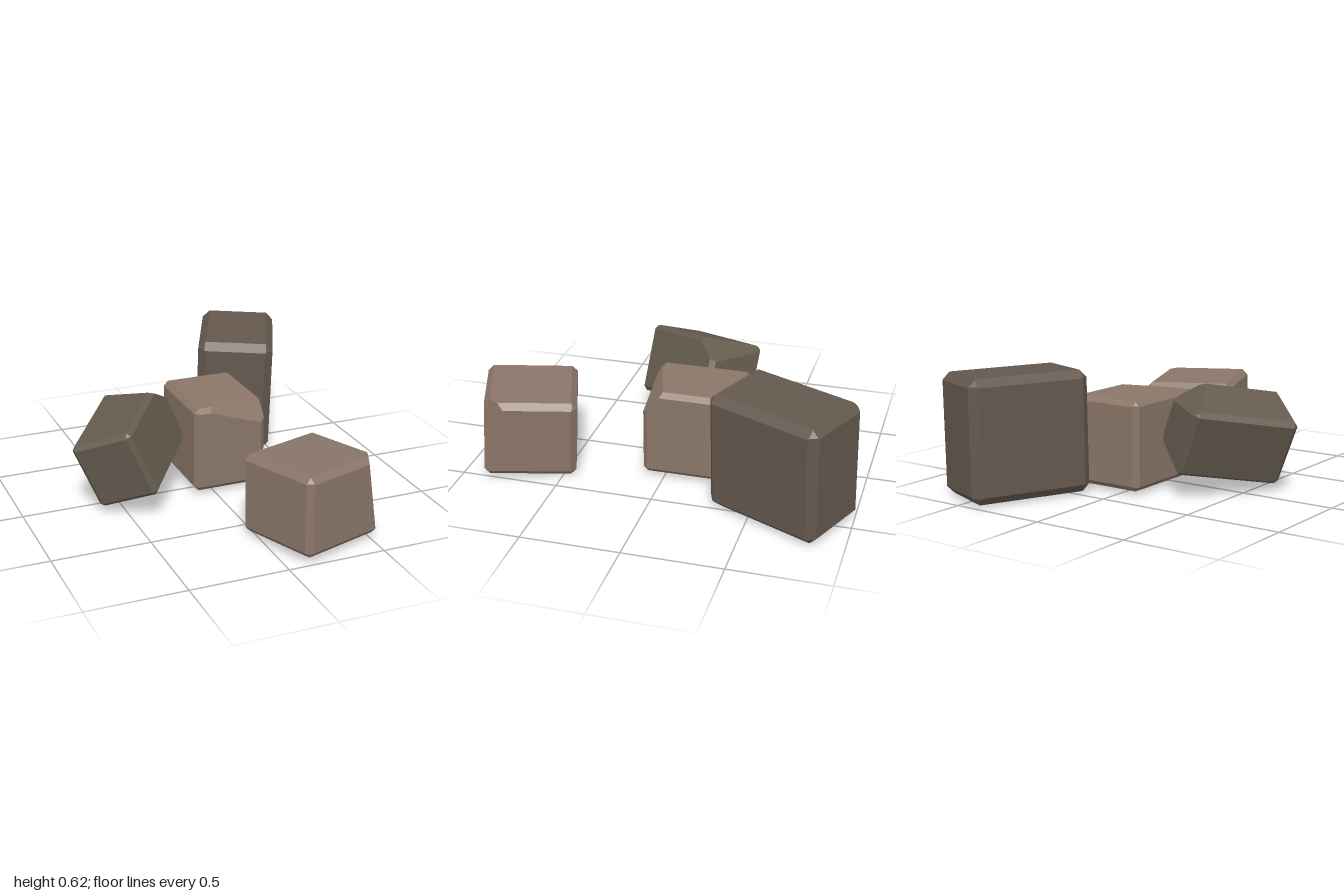
import * as THREE from 'three';
import { ConvexGeometry } from 'three/addons/geometries/ConvexGeometry.js';

// Convex block bounded by faces, bevelled edges, clipped corners and extra
// chips, each chip being a plane through three points.
function chippedBlock([hx, hy, hz], bevel, chips = []) {
  const half = new THREE.Vector3(hx, hy, hz);
  const planes = [];
  for (let i = -1; i <= 1; i++) for (let j = -1; j <= 1; j++) for (let k = -1; k <= 1; k++) {
    const kind = Math.abs(i) + Math.abs(j) + Math.abs(k);
    if (!kind) continue;
    const reach = half.dot(new THREE.Vector3(Math.abs(i), Math.abs(j), Math.abs(k)));
    const n = new THREE.Vector3(i, j, k);
    const len = n.length();
    planes.push({ n: n.divideScalar(len), d: (reach - [0, 0, 1, 1.9][kind] * bevel) / len });
  }
  for (const chip of chips) {
    const [a, b, c] = chip.map((p) => new THREE.Vector3(...p));
    const n = b.clone().sub(a).cross(c.clone().sub(a)).normalize();
    if (n.dot(a) < 0) n.negate();
    planes.push({ n, d: n.dot(a) });
  }

  // Corners are the points where three planes meet inside all the others
  const points = [];
  for (let a = 0; a < planes.length; a++) for (let b = a + 1; b < planes.length; b++) {
    const ab = planes[a].n.clone().cross(planes[b].n);
    for (let c = b + 1; c < planes.length; c++) {
      const det = ab.dot(planes[c].n);
      if (Math.abs(det) < 1e-4) continue;
      const p = planes[b].n.clone().cross(planes[c].n).multiplyScalar(planes[a].d)
        .addScaledVector(planes[c].n.clone().cross(planes[a].n), planes[b].d)
        .addScaledVector(ab, planes[c].d)
        .divideScalar(det);
      if (planes.some((q) => q.n.dot(p) > q.d + 1e-6)) continue;
      if (!points.some((q) => q.distanceTo(p) < 1e-4)) points.push(p);
    }
  }
  return new ConvexGeometry(points);
}

export function createModel() {
  const group = new THREE.Group();

  function addRock(name, color, half, bevel, chips, position) {
    const material = new THREE.MeshStandardMaterial({ color, flatShading: true });
    const mesh = new THREE.Mesh(chippedBlock(half, bevel, chips), material);
    mesh.name = name;
    mesh.position.set(...position);
    group.add(mesh);
    return mesh;
  }

  // Upright rock in the middle, one top corner broken off
  addRock('middleRock', 0x8a7668, [0.195, 0.228, 0.24], 0.025,
    [[[-0.165, 0.228, 0.235], [0.195, 0.228, 0.13], [0.195, 0.1, 0.24]]],
    [0.085, 0.247, -0.13]);

  // Front rock, its front edge chipped wider towards the top
  addRock('frontRock', 0x8a7568, [0.24, 0.203, 0.233], 0.03,
    [[[0.24, 0.2, 0.13], [0.15, 0.2, 0.233], [0.24, -0.2, 0.205]]],
    [0.245, 0.223, 0.715]).rotation.set(-0.045, 0.33, -0.01);

  // Large back rock
  addRock('backRock', 0x64584e, [0.202, 0.307, 0.315], 0.04,
    [
      [[0.202, 0.235, -0.315], [0.202, 0.307, -0.245], [0.13, 0.307, -0.315]],
      [[0.202, -0.26, 0.315], [0.202, -0.307, 0.2], [0.1, -0.307, 0.315]],
    ],
    [0.43, 0.312, -0.643]).rotation.set(0, -0.43, -0.03);

  // Tipped rock on the right, with a big chip off its far end
  const tipped = addRock('tippedRock', 0x655c4f, [0.168, 0.183, 0.275], 0.024,
    [[[-0.168, 0.183, -0.25], [0.168, 0.183, -0.13], [0.168, 0.06, -0.275]]],
    [-0.42, 0.302, -0.015]);
  const up = new THREE.Vector3(-0.38, 0.91, -0.09).normalize();
  const along = new THREE.Vector3(-0.57, -0.2, 0.8);
  const across = up.clone().cross(along).normalize();
  along.crossVectors(across, up);
  tipped.quaternion.setFromRotationMatrix(new THREE.Matrix4().makeBasis(across, up, along));

  return group;
}
